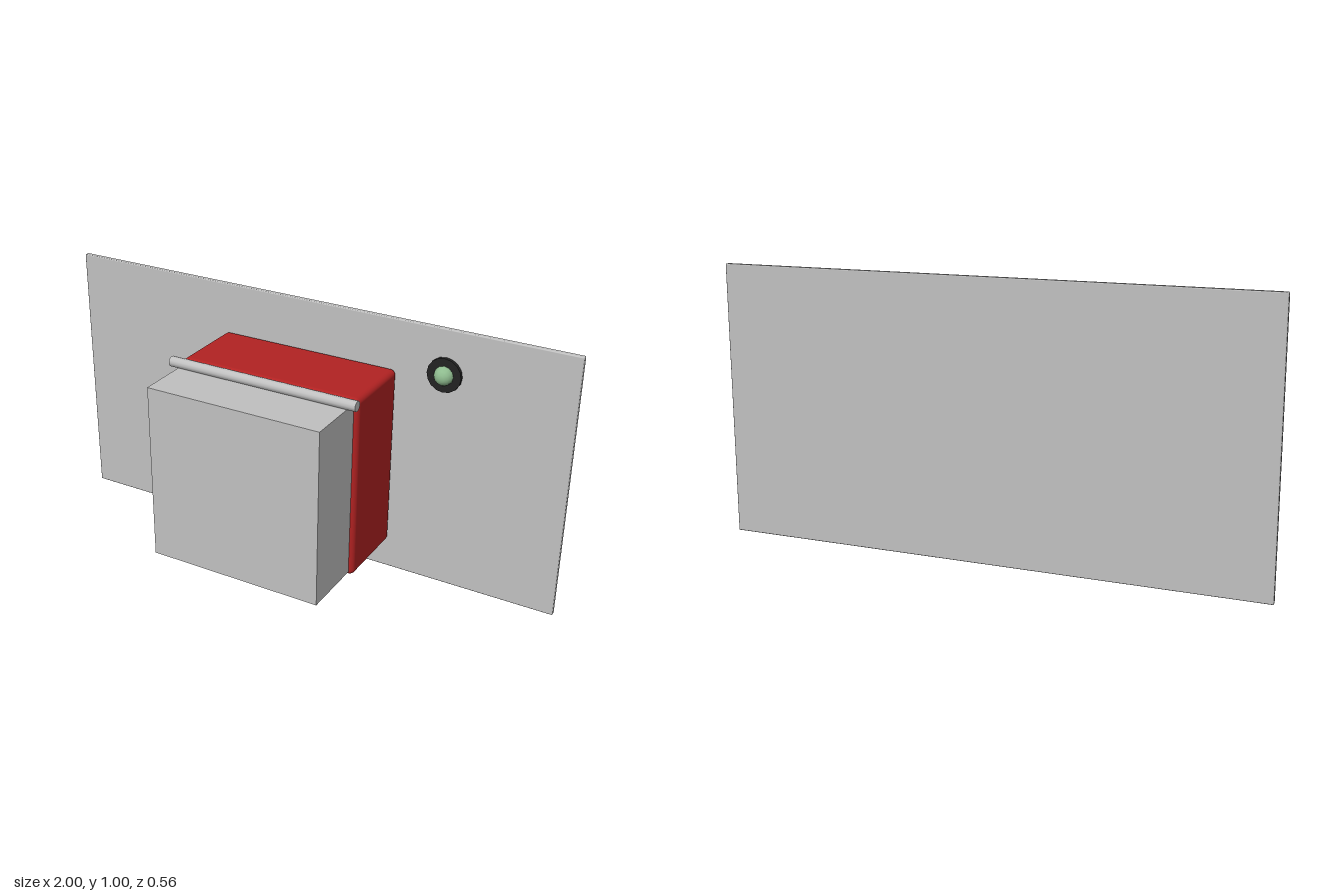
import * as THREE from 'three';
import { RoundedBoxGeometry } from 'three/addons/geometries/RoundedBoxGeometry.js';

function material(name, color) {
  const m = new THREE.MeshStandardMaterial({ color });
  m.name = name;
  return m;
}

export function createModel() {
  const grey = material('brushed grey', 0xc0c0c0);
  const red = material('deep red', 0xb22222);
  const dark = material('dark bezel', 0x222222);
  const green = material('soft green', 0x8fbc8f);

  const model = new THREE.Group();
  model.name = 'wallSwitch';
  const add = (name, geometry, mat, x, y, z, parent = model) => {
    const mesh = new THREE.Mesh(geometry, mat);
    mesh.name = name;
    mesh.position.set(x, y, z);
    parent.add(mesh);
    return mesh;
  };

  // Wall plate with lightly eased edges
  add('backPanel', new RoundedBoxGeometry(2, 1, 0.02, 2, 0.004), grey, 0, 0.5, -0.27);

  // Red housing
  add('housing', new RoundedBoxGeometry(0.7, 0.696, 0.3, 3, 0.02), red, 0, 0.468, -0.11);

  // Hollow cover: front, sides and top, open below and behind
  const cover = new THREE.Group();
  cover.name = 'cover';
  model.add(cover);
  const t = 0.01, w = 0.668, bottom = 0.135, top = 0.8, back = 0.04, front = 0.28;
  const h = top - bottom, d = front - back, midY = (top + bottom) / 2;
  add('coverFront', new THREE.BoxGeometry(w, h, t), grey, 0, midY, front - t / 2, cover);
  add('coverTop', new THREE.BoxGeometry(w, t, d - t), grey, 0, top - t / 2, (front - t + back) / 2, cover);
  for (const side of [-1, 1]) {
    add(side > 0 ? 'coverLeftWall' : 'coverRightWall', new THREE.BoxGeometry(t, h - t, d - t), grey,
      side * (w - t) / 2, midY - t / 2, (front - t + back) / 2, cover);
  }

  // Hinge rod across the top of the cover
  const rod = new THREE.CylinderGeometry(0.019, 0.019, 0.735, 12).rotateZ(Math.PI / 2);
  add('hingeRod', rod, grey, 0, 0.816, 0.081);

  // Indicator lamp: bezel disc and dome
  const bezel = new THREE.CylinderGeometry(0.0635, 0.0635, 0.014, 16).rotateX(Math.PI / 2);
  add('lampBezel', bezel, dark, 0.53, 0.835, -0.254);
  const dome = new THREE.SphereGeometry(0.036, 12, 4, 0, Math.PI * 2, 0, Math.PI / 2).rotateX(Math.PI / 2);
  add('lampDome', dome, green, 0.53, 0.835, -0.249);

  return model;
}
